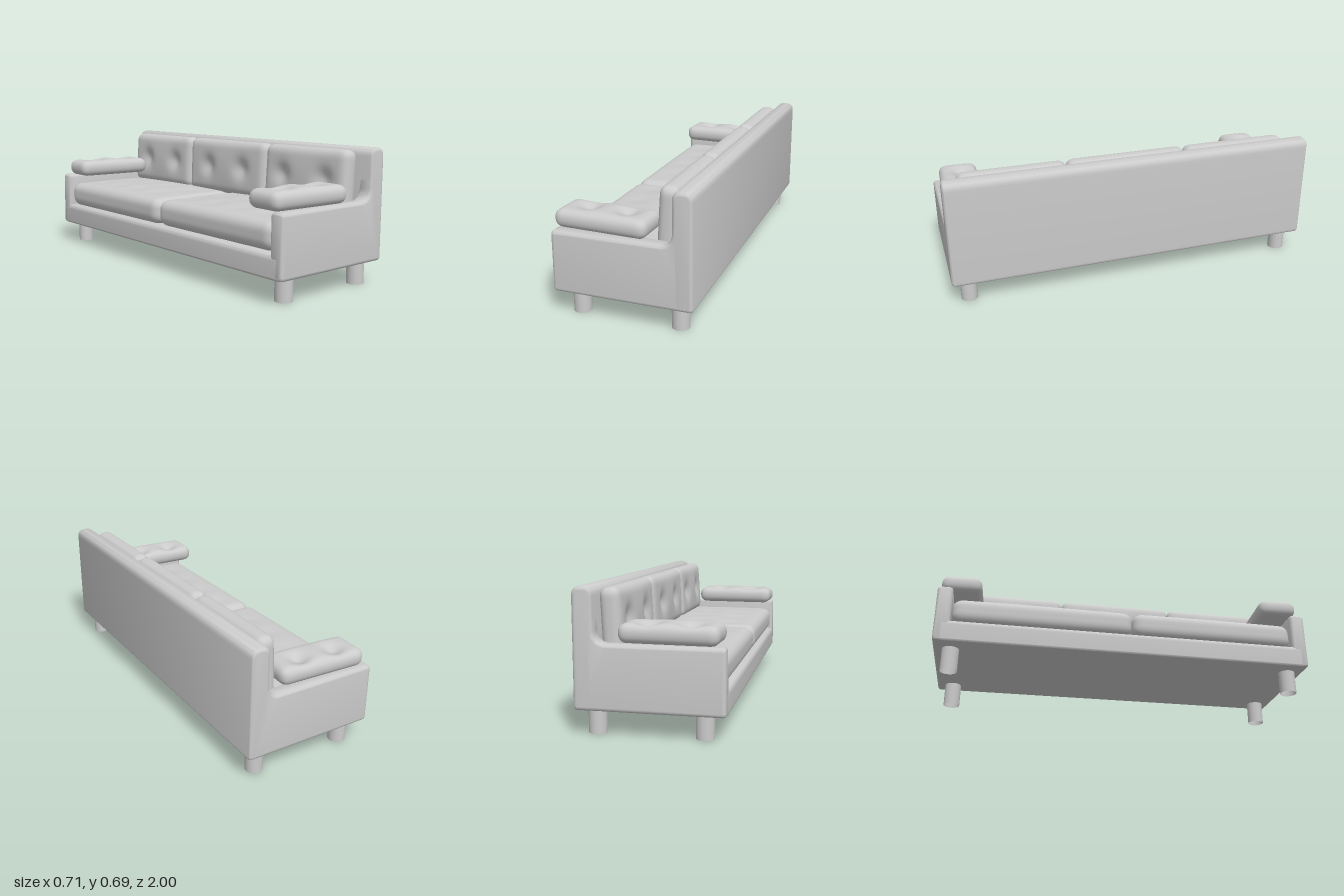
import * as THREE from 'three';
import { mergeVertices, toCreasedNormals } from 'three/addons/utils/BufferGeometryUtils.js';

const material = new THREE.MeshStandardMaterial({ color: 0xcccccc });
const openMaterial = new THREE.MeshStandardMaterial({ color: 0xcccccc, side: THREE.DoubleSide });

function addMesh(parent, name, geometry, mat = material) {
  const mesh = new THREE.Mesh(geometry, mat);
  mesh.name = name;
  parent.add(mesh);
  return mesh;
}

// Closed outline from corners [x, y, radius], each rounded by its radius.
function roundedOutline(corners) {
  const shape = new THREE.Shape();
  corners.forEach(([x, y, r], i) => {
    const p = new THREE.Vector2(x, y);
    const toward = ([nx, ny]) => new THREE.Vector2(nx, ny).sub(p).setLength(r).add(p);
    const a = toward(corners.at(i - 1));
    const b = toward(corners[(i + 1) % corners.length]);
    if (i === 0) shape.moveTo(a.x, a.y);
    else shape.lineTo(a.x, a.y);
    shape.quadraticCurveTo(x, y, b.x, b.y);
  });
  shape.closePath();
  return shape;
}

// Side profile swept along z with softened ends.
function sweep(corners, z0, z1, bevel) {
  const geometry = new THREE.ExtrudeGeometry(roundedOutline(corners), {
    depth: z1 - z0 - 2 * bevel, curveSegments: 8,
    bevelEnabled: true, bevelSize: bevel, bevelThickness: bevel, bevelOffset: -bevel, bevelSegments: 4,
  });
  geometry.translate(0, 0, z0 + bevel);
  return toCreasedNormals(geometry, 0.7);
}

// Soft rounded block; the local +y face bulges and is pressed in at each dimple [x, z, depth, size].
function cushionGeometry(w, h, d, r, crown, dimples) {
  const step = 0.014;
  const box = new THREE.BoxGeometry(w, h, d, Math.ceil(w / step), Math.ceil(h / step), Math.ceil(d / step));
  box.deleteAttribute('normal');
  box.deleteAttribute('uv');
  const geometry = mergeVertices(box);
  const pos = geometry.attributes.position;
  const inner = new THREE.Vector3(w / 2 - r, h / 2 - r, d / 2 - r);
  const low = inner.clone().negate();
  const p = new THREE.Vector3(), q = new THREE.Vector3();
  for (let i = 0; i < pos.count; i++) {
    p.fromBufferAttribute(pos, i);
    q.copy(p).clamp(low, inner);
    p.sub(q).setLength(r).add(q);
    if (p.y > 0) {
      const lift = p.y / (h / 2);
      const u = 2 * p.x / w, v = 2 * p.z / d;
      let dy = crown * ((1 - u * u) * (1 - v * v) - 0.5);
      for (const [x, z, depth, size] of dimples) {
        dy -= depth * Math.exp(-((p.x - x) ** 2 + (p.z - z) ** 2) / (size * size));
      }
      p.y += dy * lift;
    }
    pos.setXYZ(i, p.x, p.y, p.z);
  }
  geometry.computeVertexNormals();
  return geometry;
}

export function createModel() {
  const sofa = new THREE.Group();
  sofa.name = 'sofa';

  // Frame: seat base, full-length backrest and two stepped side panels
  const frame = new THREE.Group();
  frame.name = 'frame';
  sofa.add(frame);
  addMesh(frame, 'seatBase', sweep([
    [-0.355, 0.12, 0.012], [0.34, 0.12, 0.012], [0.34, 0.24, 0.012], [-0.355, 0.24, 0.03],
  ], -0.97, 0.97, 0.01));
  addMesh(frame, 'backrest', sweep([
    [0.255, 0.12, 0.02], [0.355, 0.12, 0.02], [0.355, 0.692, 0.045], [0.255, 0.692, 0.045],
  ], -1, 1, 0.018));
  for (const side of [-1, 1]) {
    const z0 = side < 0 ? -1 : 0.92;
    addMesh(frame, side < 0 ? 'rightArm' : 'leftArm', sweep([
      [-0.355, 0.12, 0.02], [0.34, 0.12, 0.02], [0.34, 0.6, 0.03],
      [0.257, 0.6, 0.03], [0.252, 0.432, 0.06], [-0.352, 0.432, 0.022],
    ], z0, z0 + 0.08, 0.018));
  }

  // Legs
  for (const x of [-0.246, 0.266]) {
    for (const z of [-0.91, 0.91]) {
      const leg = addMesh(sofa, 'leg', new THREE.CylinderGeometry(0.044, 0.044, 0.125, 32, 1, true), openMaterial);
      leg.position.set(x, 0.0625, z);
    }
  }

  // Two seat cushions with faint creases
  for (const [z0, z1] of [[-0.92, 0.03], [0.03, 0.92]]) {
    const creases = [];
    for (let i = 0; i < 4; i++) {
      for (const x of [-0.13, 0.06]) creases.push([x, -0.3 + i * 0.2 + x * 0.2, 0.006, 0.06]);
    }
    const seat = addMesh(sofa, 'seatCushion', cushionGeometry(0.585, 0.15, z1 - z0, 0.055, 0.016, creases));
    seat.position.set(-0.05, 0.312, (z0 + z1) / 2);
  }

  // Three back cushions, each with a pair of tufts facing the seat
  for (const [z0, z1, lean] of [[-0.91, -0.31, 0.05], [-0.31, 0.35, 0.04], [0.35, 0.92, 0.06]]) {
    const tufts = [-0.145, 0.145].map((z) => [0, z, 0.026, 0.055]);
    const back = addMesh(sofa, 'backCushion', cushionGeometry(0.31, 0.105, z1 - z0, 0.042, 0.012, tufts));
    back.rotation.z = Math.PI / 2 - lean;
    back.position.set(0.2, 0.525, (z0 + z1) / 2);
  }

  // Arm cushions, slightly askew, with two tufts on top
  for (const [x, z] of [[-0.085, -0.873], [-0.115, 0.868]]) {
    const tufts = [-0.1, 0.1].map((tx) => [tx, -0.02, 0.032, 0.05]);
    const pad = addMesh(sofa, 'armCushion', cushionGeometry(0.475, 0.096, 0.21, 0.042, 0.008, tufts));
    pad.rotation.y = -0.045;
    pad.position.set(x, 0.478, z);
  }
  return sofa;
}
